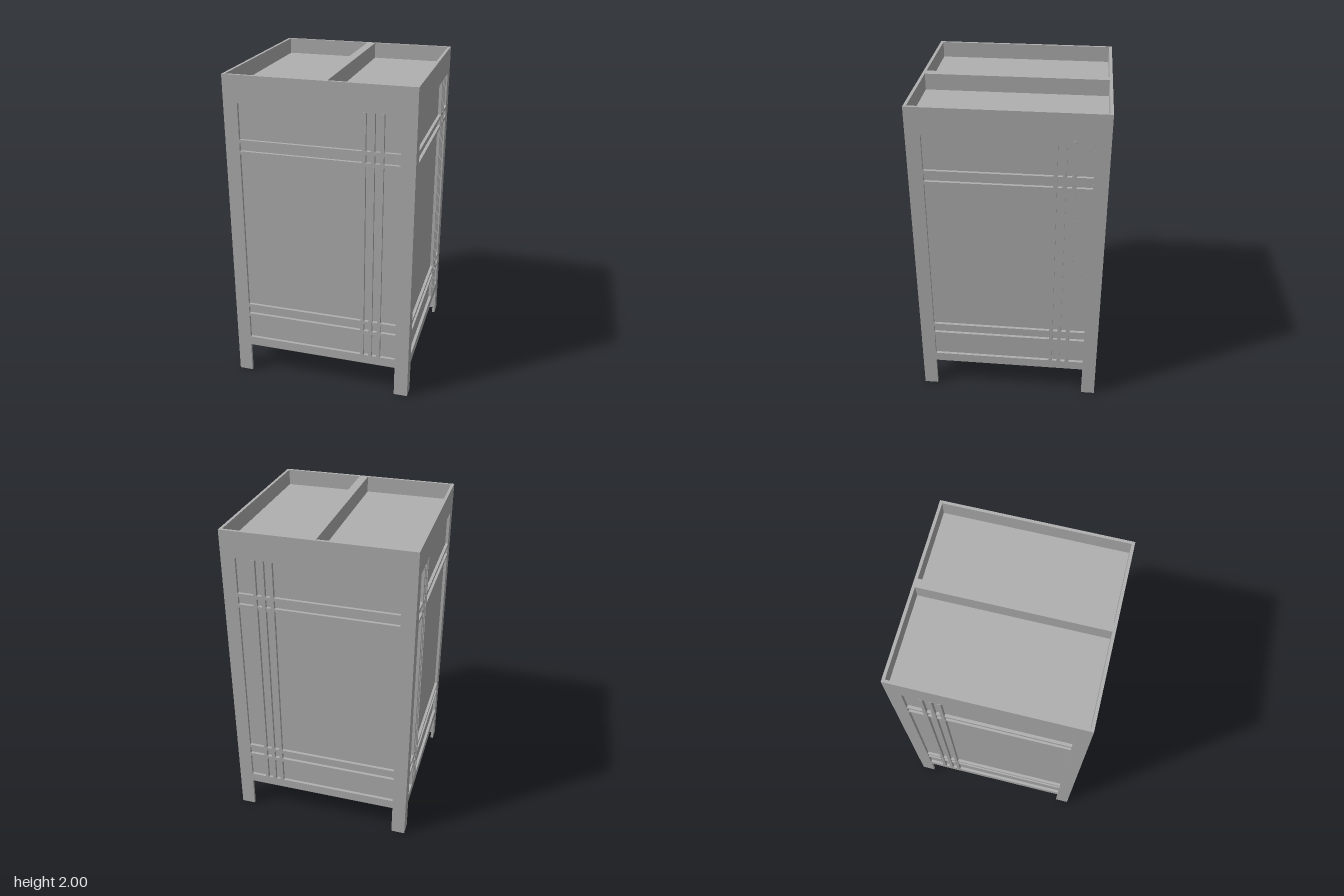
import * as THREE from 'three';

const HALF = 0.57, THICK = 0.018, INNER = HALF - THICK;
const BASE = 0.2, TOP = 2, FLOOR = 1.9;
const LEG = 0.484; // inner edge of the legs and of the panel field

// openings of the lattice: columns in x, rows in y
const COLS = [[-0.483, 0.26], [0.281, 0.312], [0.333, 0.365], [0.386, 0.483]];
const ROWS = [[0.26, 0.418], [0.438, 0.487], [0.507, 1.525], [1.545, 1.595], [1.615, 1.838]];

function roundedHole(x0, x1, y0, y1, r = 0.007) {
  const p = new THREE.Path();
  p.moveTo(x0 + r, y0);
  p.lineTo(x1 - r, y0);
  p.quadraticCurveTo(x1, y0, x1, y0 + r);
  p.lineTo(x1, y1 - r);
  p.quadraticCurveTo(x1, y1, x1 - r, y1);
  p.lineTo(x0 + r, y1);
  p.quadraticCurveTo(x0, y1, x0, y1 - r);
  p.lineTo(x0, y0 + r);
  p.quadraticCurveTo(x0, y0, x0 + r, y0);
  return p;
}

// one side: a board with two legs and a lattice of openings
function frameGeometry(half, dir) {
  const shape = new THREE.Shape([
    [-half, 0], [-LEG, 0], [-LEG, BASE], [LEG, BASE], [LEG, 0], [half, 0], [half, TOP], [-half, TOP],
  ].map(([x, y]) => new THREE.Vector2(x, y)));
  for (const [a, b] of COLS) {
    for (const [y0, y1] of ROWS) {
      shape.holes.push(roundedHole(Math.min(a * dir, b * dir), Math.max(a * dir, b * dir), y0, y1));
    }
  }
  return new THREE.ExtrudeGeometry(shape, { depth: THICK, bevelEnabled: false, curveSegments: 4 });
}

export function createModel() {
  const model = new THREE.Group();
  const grey = new THREE.MeshStandardMaterial({ color: 0xb0b0b0 });
  grey.name = 'grey';

  const add = (parent, name, geometry, x = 0, y = 0, z = 0) => {
    const mesh = new THREE.Mesh(geometry, grey);
    mesh.name = name;
    mesh.position.set(x, y, z);
    parent.add(mesh);
  };

  // closed body behind the lattice; its top is the tray floor
  add(model, 'body', new THREE.BoxGeometry(INNER * 2, FLOOR - BASE, INNER * 2), 0, (BASE + FLOOR) / 2, 0);
  add(model, 'trayDivider', new THREE.BoxGeometry(0.055, TOP - FLOOR, INNER * 2), 0.029, (TOP + FLOOR) / 2, 0);

  // four lattice sides; dir mirrors the upright bars
  const sides = [
    ['front', 0, HALF, 1],
    ['back', Math.PI, HALF, -1],
    ['right', Math.PI / 2, INNER, 1],
    ['left', -Math.PI / 2, INNER, -1],
  ];
  for (const [name, angle, half, dir] of sides) {
    const side = new THREE.Group();
    side.name = name + 'Side';
    side.rotation.y = angle;
    add(side, name + 'Frame', frameGeometry(half, dir), 0, 0, INNER);
    // upright bars stand slightly proud of the frame
    for (let i = 0; i < 3; i++) {
      const x0 = COLS[i][1], x1 = COLS[i + 1][0];
      add(side, name + 'UprightBar', new THREE.BoxGeometry(x1 - x0, 1.578, THICK),
        dir * (x0 + x1) / 2, 1.049, INNER + THICK / 2 + 0.002);
    }
    model.add(side);
  }
  return model;
}
